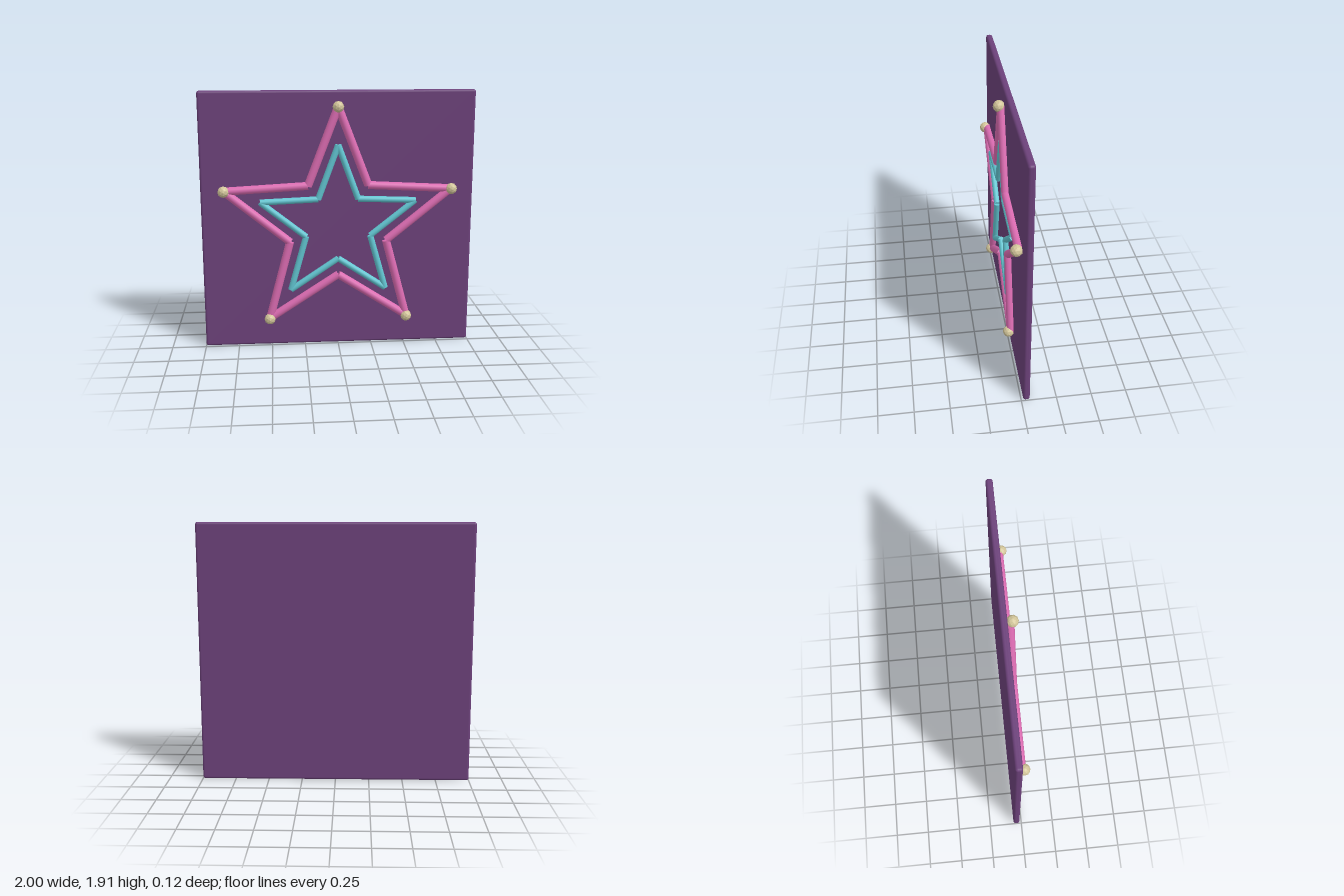
import * as THREE from 'three';
import { RoundedBoxGeometry } from 'three/addons/geometries/RoundedBoxGeometry.js';

const CENTER_Y = 0.925;

function material(name, color, flatShading = false) {
  const m = new THREE.MeshStandardMaterial({ color, flatShading });
  m.name = name;
  return m;
}

// Alternating tips and valleys of a five-pointed star
function starPoints(outer, inner, z) {
  return Array.from({ length: 10 }, (_, i) => {
    const r = i % 2 ? inner : outer;
    const a = (i * Math.PI) / 5;
    return new THREE.Vector3(Math.sin(a) * r, CENTER_Y + Math.cos(a) * r, z);
  });
}

// Ten straight round rods joining the star's corners
function starOutline(name, points, radius, mat) {
  const group = new THREE.Group();
  group.name = name;
  const up = new THREE.Vector3(0, 1, 0);
  points.forEach((a, i) => {
    const b = points[(i + 1) % points.length];
    const dir = b.clone().sub(a);
    const rod = new THREE.Mesh(new THREE.CylinderGeometry(radius, radius, dir.length(), 12), mat);
    rod.name = name + 'Rod';
    rod.position.copy(a).add(b).multiplyScalar(0.5);
    rod.quaternion.setFromUnitVectors(up, dir.normalize());
    group.add(rod);
  });
  return group;
}

export function createModel() {
  const model = new THREE.Group();
  model.name = 'starPanel';
  const purple = material('purple', 0x6c417a);
  const pink = material('pink', 0xdc6cb2);
  const teal = material('teal', 0x62c6d2);
  const cream = material('cream', 0xd2c59a, true);

  // Backing panel
  const panel = new THREE.Mesh(new RoundedBoxGeometry(2, 1.915, 0.048, 3, 0.018), purple);
  panel.name = 'backPanel';
  panel.position.set(0, 0.9575, -0.038);
  model.add(panel);

  // Large and small star outlines
  const outer = starPoints(0.875, 0.375, 0.004);
  model.add(starOutline('outerStar', outer, 0.03, pink));
  model.add(starOutline('innerStar', starPoints(0.6, 0.25, 0.004), 0.023, teal));

  // Beads on the large star's tips
  const beadGeometry = new THREE.IcosahedronGeometry(0.042, 1);
  outer.filter((_, i) => i % 2 === 0).forEach((p) => {
    const bead = new THREE.Mesh(beadGeometry, cream);
    bead.name = 'tipBead';
    bead.position.set(p.x, p.y, 0.021);
    model.add(bead);
  });

  return model;
}
